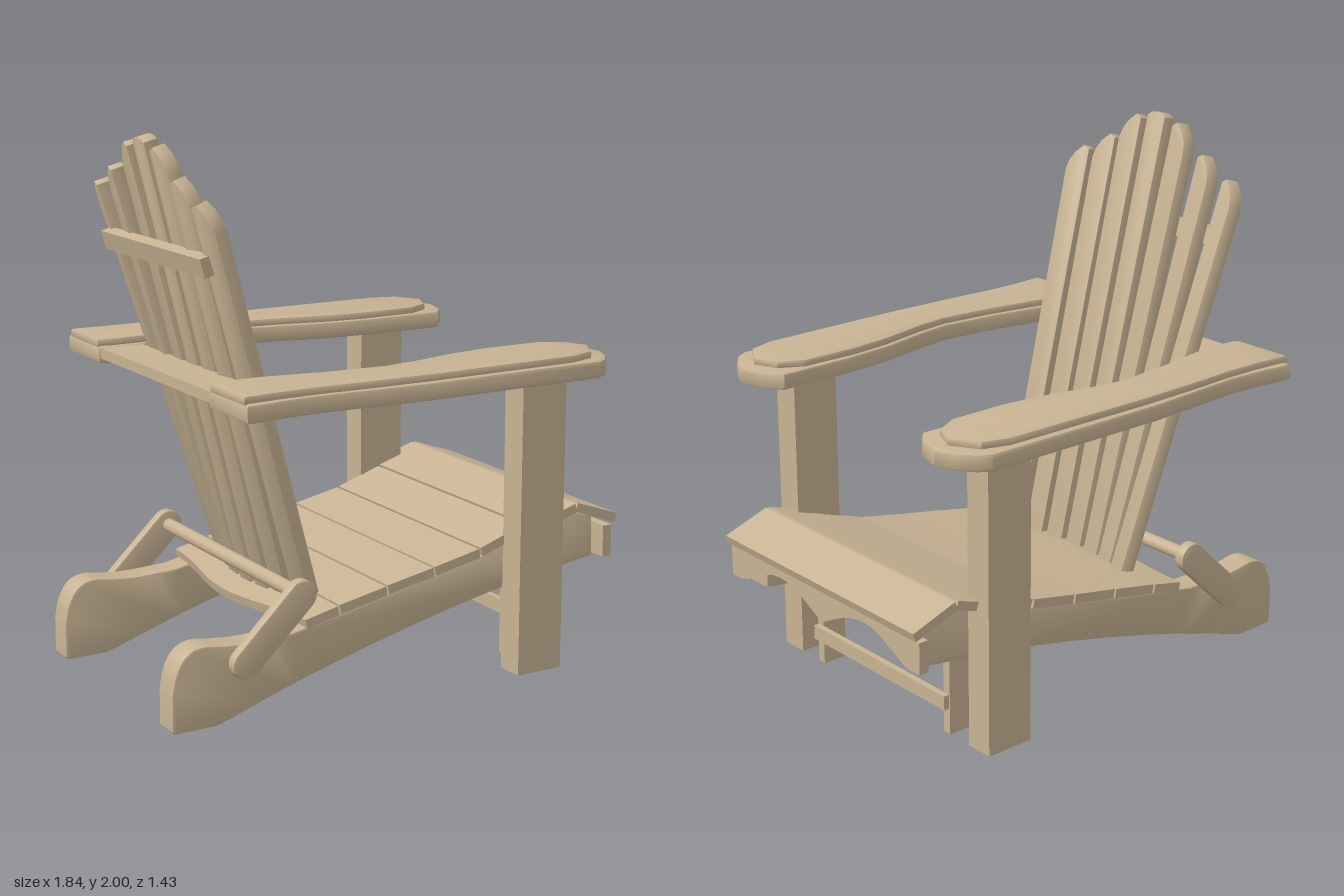
import * as THREE from 'three';
import { toCreasedNormals } from 'three/addons/utils/BufferGeometryUtils.js';

const wood = new THREE.MeshStandardMaterial({ color: 0xc8b393 });
wood.name = 'tan wood';

const V2 = (p) => p.map(([x, y]) => new THREE.Vector2(x, y));

// Board cut from an outline, with an optional eased edge that stays inside it
function board(outline, depth, bevel = 0) {
  const shape = outline instanceof THREE.Shape ? outline : new THREE.Shape(V2(outline));
  const g = new THREE.ExtrudeGeometry(shape, {
    depth: depth - 2 * bevel, bevelEnabled: bevel > 0, bevelSize: bevel,
    bevelThickness: bevel, bevelOffset: -bevel, bevelSegments: 2, curveSegments: 10,
  });
  g.translate(0, 0, bevel);
  return toCreasedNormals(g, 0.6);
}

export function createModel() {
  const chair = new THREE.Group();
  chair.name = 'gardenChair';
  const add = (name, geometry, x = 0, y = 0, z = 0) => {
    const m = new THREE.Mesh(geometry, wood);
    m.name = name;
    m.position.set(x, y, z);
    chair.add(m);
    return m;
  };
  const box = (name, x0, x1, y0, y1, z0, z1) =>
    add(name, new THREE.BoxGeometry(x1 - x0, y1 - y0, z1 - z0), (x0 + x1) / 2, (y0 + y1) / 2, (z0 + z1) / 2);

  // Sloping side rail that ends in the back foot
  const rail = new THREE.Shape();
  rail.moveTo(-0.92, 0.01);
  rail.lineTo(-0.92, 0.14);
  rail.splineThru(V2([[-0.905, 0.21], [-0.87, 0.27], [-0.81, 0.297], [-0.72, 0.287], [-0.62, 0.28], [-0.46, 0.285]]));
  rail.lineTo(-0.27, 0.322);
  rail.lineTo(0.33, 0.438);
  rail.lineTo(0.72, 0.565);
  rail.lineTo(0.85, 0.525);
  rail.lineTo(0.855, 0.37);
  rail.splineThru(V2([[0.4, 0.3], [0, 0.215], [-0.4, 0.11], [-0.7, 0.015]]));
  rail.lineTo(-0.75, 0);
  rail.lineTo(-0.91, 0);

  // Arm outlines as x and distance from the middle
  const armBase = [[-0.735, 0.71], [-0.68, 0.708], [-0.58, 0.695], [-0.45, 0.69], [-0.25, 0.703], [-0.05, 0.717],
    [0.7, 0.717], [0.745, 0.69], [0.79, 0.63], [0.82, 0.56], [0.79, 0.46], [0.74, 0.4], [0.45, 0.402], [0.25, 0.42],
    [0.05, 0.465], [-0.08, 0.485], [-0.3, 0.465], [-0.55, 0.42], [-0.7, 0.42], [-0.735, 0.44]];
  const armPad = [[-0.735, 0.69], [-0.6, 0.68], [-0.45, 0.678], [-0.25, 0.69], [0, 0.697], [0.3, 0.695], [0.6, 0.692],
    [0.7, 0.66], [0.76, 0.56], [0.72, 0.47], [0.63, 0.42], [0.4, 0.418], [0.25, 0.435], [0.05, 0.48],
    [-0.08, 0.498], [-0.3, 0.478], [-0.55, 0.435], [-0.7, 0.435], [-0.735, 0.45]];

  // Rounded link between the back foot and the rod
  const linkLength = Math.hypot(0.22, 0.21);
  const link = new THREE.Shape();
  link.absarc(linkLength, 0, 0.056, -Math.PI / 2, Math.PI / 2);
  link.absarc(0, 0, 0.056, Math.PI / 2, Math.PI * 1.5);

  for (const s of [1, -1]) {
    const side = s > 0 ? 'left' : 'right';
    add(side + 'Rail', board(rail, 0.105, 0.008), 0, 0, s * 0.445 - 0.0525);
    const zc = s * 0.555;
    box(side + 'FrontLeg', 0.44, 0.63, 0, 1.12, zc - 0.055, zc + 0.055);
    box(side + 'InnerLeg', 0.53, 0.63, 0, 0.45, s * 0.377 - 0.0175, s * 0.377 + 0.0175);
    const layer = (pts, h, b) => board(pts.map(([x, w]) => [x, -s * w]), h, b).rotateX(-Math.PI / 2);
    add(side + 'Arm', layer(armBase, 0.065, 0.012), 0, 1.11, 0);
    add(side + 'ArmPad', layer(armPad, 0.035, 0.01), 0, 1.167, 0);
    const l = add(side + 'Link', board(link, 0.042, 0.006), -0.65, 0.22, s * 0.52 - 0.021);
    l.rotation.z = Math.atan2(0.21, 0.22);
  }

  // Rod joining the links, and the other cross pieces
  add('rod', new THREE.CylinderGeometry(0.026, 0.026, 1.02, 20).rotateX(Math.PI / 2), -0.43, 0.43, 0);
  box('frontStretcher', 0.628, 0.652, 0.1, 0.155, -0.39, 0.39);
  box('armCrossBoard', -0.73, -0.565, 1.13, 1.17, -0.46, 0.46);
  const bar = box('upperBackBar', -0.73, -0.685, 1.55, 1.62, -0.39, 0.39);
  bar.rotation.z = 0.27;

  // Apron with a scalloped lower edge
  const wave = [[-0.56, 0.5], [-0.56, 0.38], [-0.5, 0.38]];
  for (let i = 1; i < 24; i++) {
    const z = -0.5 + i / 24;
    const t = Math.abs(z) / 0.5;
    wave.push([z, 0.38 + 0.088 * Math.sin(Math.PI * t) ** (t < 0.5 ? 1.1 : 1.4)]);
  }
  wave.push([0.5, 0.38], [0.56, 0.38], [0.56, 0.5]);
  add('apron', board(wave, 0.038).rotateY(Math.PI / 2), 0.855, 0, 0);

  // Seat slats: start x, end x, top y at each end
  const seat = [[-0.46, -0.27, 0.315, 0.357], [-0.262, -0.07, 0.36, 0.397], [-0.062, 0.13, 0.4, 0.435],
    [0.138, 0.33, 0.437, 0.475], [0.338, 0.522, 0.478, 0.54], [0.53, 0.722, 0.545, 0.604], [0.735, 0.918, 0.605, 0.541]];
  seat.forEach(([x0, x1, y0, y1], i) => {
    const len = Math.hypot(x1 - x0, y1 - y0), w = i === 6 ? 0.56 : 0.505;
    let pts = [[0, -w], [len, -w], [len, w], [0, w]];
    if (i === 5) { // notched round the front legs
      pts = [[0, -0.5], [0.107, -0.5], [0.107, -0.56], [len, -0.56], [len, 0.56], [0.107, 0.56], [0.107, 0.5], [0, 0.5]];
    }
    if (i === 0) { // bowed rear edge
      pts = [[len, -w], [len, w]];
      for (let k = 0; k <= 16; k++) {
        const z = w * (1 - k / 8);
        pts.push([0.03 - 0.03 * Math.cos((Math.PI * z) / w), z]);
      }
    }
    const m = add('seatSlat' + (i + 1), board(pts, 0.035).rotateX(-Math.PI / 2).translate(0, -0.035, 0), x0, y0, 0);
    m.rotation.z = Math.atan2(y1 - y0, x1 - x0);
  });

  // Fan of back slats, leaning back and turned inward towards the sides
  const topY = [2, 1.975, 1.877, 1.81], topZ = [0, 0.13, 0.268, 0.405], lowZ = [0, 0.103, 0.2, 0.297];
  for (let k = -3; k <= 3; k++) {
    const i = Math.abs(k), s = Math.sign(k) || 1, c = (i * i) / 9;
    const low = new THREE.Vector3(-0.3 + 0.06 * c, 0.295, s * lowZ[i]);
    const top = new THREE.Vector3(-0.722 + 0.02 * c, topY[i], s * topZ[i]);
    const v = top.clone().sub(low), L = v.length();
    v.normalize();
    const u = new THREE.Vector3(s * Math.sin(0.085 * i), 0, Math.cos(0.085 * i));
    u.addScaledVector(v, -u.dot(v)).normalize();
    const crown = i === 0
      ? [[0.046, L - 0.015], [0.025, L - 0.003], [0, L], [-0.025, L - 0.003], [-0.046, L - 0.015]]
      : [[0.046, L - 0.1], [0.036, L - 0.065], [0.015, L - 0.03], [-0.02, L], [-0.046, L - 0.012]];
    const pts = [[-0.04, 0], [0.04, 0], ...crown].map(([a, b]) => [s * a, b]);
    const m = add('backSlat' + (k + 4), board(pts, 0.055, 0.004));
    m.applyMatrix4(new THREE.Matrix4().makeBasis(u, v, u.clone().cross(v)).setPosition(low));
  }
  return chair;
}
